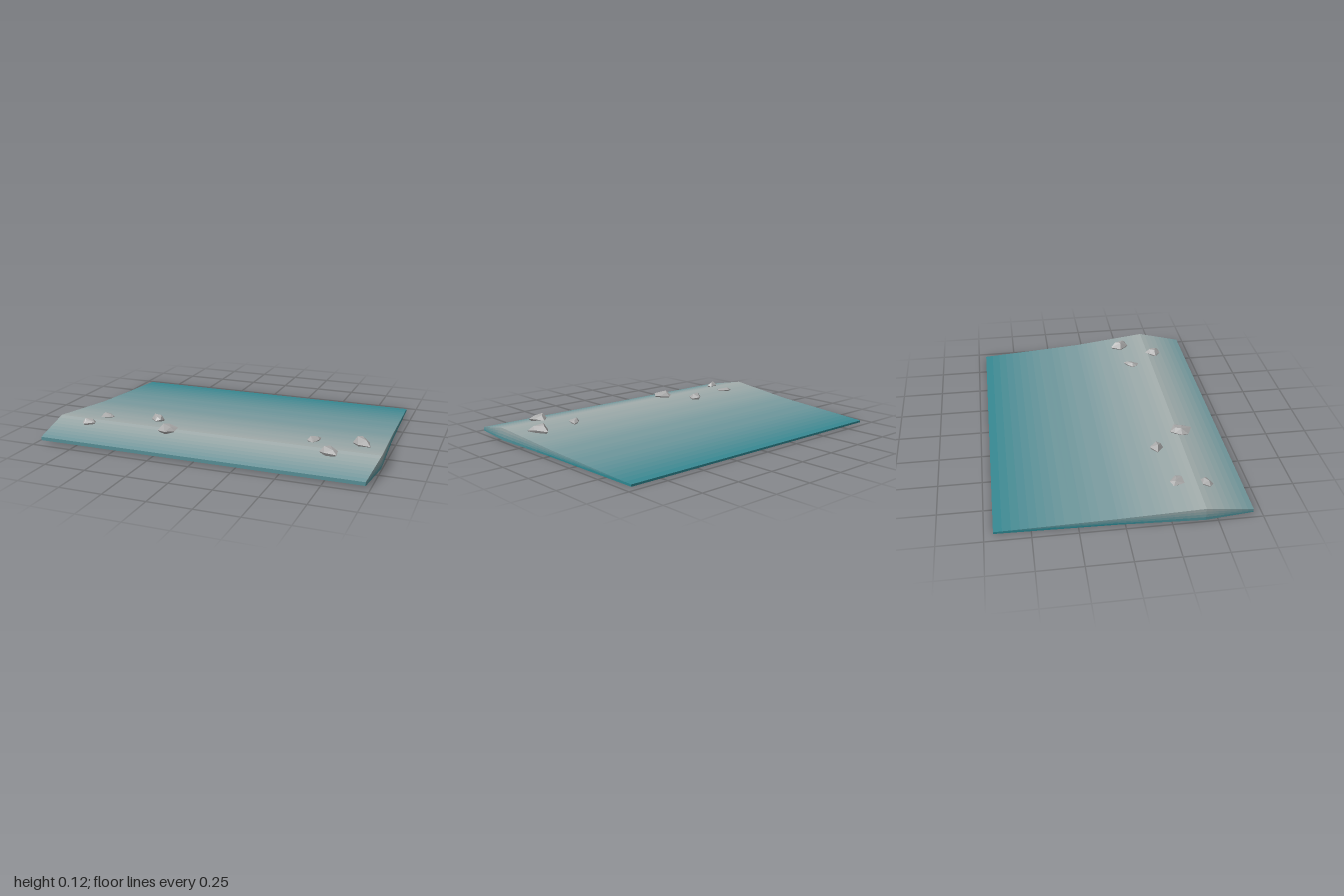
import * as THREE from 'three';
import { ConvexGeometry } from 'three/addons/geometries/ConvexGeometry.js';

// Cross-sections from front to back: z, half width, top height, bottom height
const sections = [
  [0.70, 0.973, 0.034, 0.013],
  [0.43, 1.0, 0.087, 0.011],
  [-0.04, 0.97, 0.046, 0.007],
  [-0.70, 0.945, 0.012, 0.0],
];

function sectionAt(z) {
  let i = 0;
  while (i < sections.length - 2 && z < sections[i + 1][0]) i++;
  const a = sections[i], b = sections[i + 1];
  const t = (a[0] - z) / (a[0] - b[0]);
  return a.map((v, k) => v + (b[k] - v) * t);
}

// Sloping slab, shaded from teal at the low edges to grey along the ridge
function makeSlab() {
  const levels = 24;
  const teal = new THREE.Color(0x2b8690), grey = new THREE.Color(0xa3adac);
  const materials = [];
  for (let i = 0; i <= levels; i++) {
    materials.push(new THREE.MeshStandardMaterial({ color: teal.clone().lerp(grey, i / levels) }));
  }
  const geometry = new THREE.BufferGeometry();
  const positions = [];

  function quad(a, b, c, d, height) {
    const t = Math.pow(THREE.MathUtils.clamp((height - 0.012) / 0.075, 0, 1), 0.8);
    geometry.addGroup(positions.length / 3, 6, Math.round(t * levels));
    positions.push(...a, ...b, ...c, ...a, ...c, ...d);
  }

  // Subdivide each span of the profile so the colour changes gradually
  const rows = [];
  const steps = [8, 14, 14];
  steps.forEach((n, i) => {
    for (let k = 0; k < n; k++) {
      rows.push(sectionAt(THREE.MathUtils.lerp(sections[i][0], sections[i + 1][0], k / n)));
    }
  });
  rows.push(sections[3]);

  const layers = 4;
  for (let i = 0; i < rows.length - 1; i++) {
    const [z0, w0, t0, b0] = rows[i], [z1, w1, t1, b1] = rows[i + 1];
    // Top and underside
    quad([-w0, t0, z0], [w0, t0, z0], [w1, t1, z1], [-w1, t1, z1], (t0 + t1) / 2);
    quad([-w1, b1, z1], [w1, b1, z1], [w0, b0, z0], [-w0, b0, z0], 0);
    // Left and right edges in thin layers
    for (let k = 0; k < layers; k++) {
      const y = (b, t, s) => b + (t - b) * s / layers;
      const lo0 = y(b0, t0, k), hi0 = y(b0, t0, k + 1);
      const lo1 = y(b1, t1, k), hi1 = y(b1, t1, k + 1);
      const mid = (lo0 + hi0 + lo1 + hi1) / 4;
      quad([w0, lo0, z0], [w1, lo1, z1], [w1, hi1, z1], [w0, hi0, z0], mid);
      quad([-w1, lo1, z1], [-w0, lo0, z0], [-w0, hi0, z0], [-w1, hi1, z1], mid);
    }
  }
  // Front and back edges
  const [zf, wf, tf, bf] = sections[0], [zb, wb, tb, bb] = sections[3];
  quad([-wf, bf, zf], [wf, bf, zf], [wf, tf, zf], [-wf, tf, zf], (tf + bf) / 2);
  quad([wb, bb, zb], [-wb, bb, zb], [-wb, tb, zb], [wb, tb, zb], 0);

  geometry.setAttribute('position', new THREE.Float32BufferAttribute(positions, 3));
  geometry.computeVertexNormals();
  const mesh = new THREE.Mesh(geometry, materials);
  mesh.name = 'slab';
  return mesh;
}

// Rocks: peak height and outline seen from above, as x, z pairs
const rocks = [
  { top: 0.097, outline: [[-0.78, 0.30], [-0.74, 0.285], [-0.685, 0.325], [-0.70, 0.36], [-0.76, 0.365]] },
  { top: 0.11, outline: [[-0.81, 0.50], [-0.79, 0.46], [-0.74, 0.46], [-0.73, 0.49], [-0.79, 0.52]] },
  { top: 0.115, outline: [[-0.455, 0.275], [-0.41, 0.235], [-0.37, 0.27], [-0.38, 0.305], [-0.41, 0.315]] },
  { top: 0.12, outline: [[-0.315, 0.45], [-0.30, 0.41], [-0.27, 0.385], [-0.21, 0.42], [-0.21, 0.47], [-0.25, 0.52], [-0.31, 0.49]] },
  { top: 0.10, outline: [[0.545, 0.30], [0.58, 0.26], [0.615, 0.245], [0.615, 0.29], [0.59, 0.345], [0.555, 0.33]] },
  { top: 0.118, outline: [[0.665, 0.48], [0.68, 0.45], [0.72, 0.415], [0.765, 0.46], [0.77, 0.51], [0.70, 0.515]] },
  { top: 0.119, outline: [[0.80, 0.255], [0.83, 0.225], [0.84, 0.19], [0.895, 0.25], [0.91, 0.30], [0.84, 0.31]] },
];

function makeRock({ top, outline }) {
  const n = outline.length;
  const cx = outline.reduce((s, p) => s + p[0], 0) / n;
  const cz = outline.reduce((s, p) => s + p[1], 0) / n;
  const ground = sectionAt(cz)[2];
  const points = [];
  const add = (p, scale, y) => points.push(
    new THREE.Vector3(cx + (p[0] - cx) * scale, y, cz + (p[1] - cz) * scale));
  outline.forEach((p, i) => {
    // Widest ring, buried foot, and an uneven crown
    add(p, 1, ground + (top - ground) * (i % 2 ? 0.35 : 0.15));
    add(p, 0.65, ground - 0.012);
    if (i % 2 === 0) add(p, 0.5, top - 0.006 * (i / 2));
  });
  const mesh = new THREE.Mesh(
    new ConvexGeometry(points),
    new THREE.MeshStandardMaterial({ color: 0xaaaaaa, flatShading: true }));
  mesh.name = 'rock';
  return mesh;
}

export function createModel() {
  const model = new THREE.Group();
  model.name = 'rockyShore';
  model.add(makeSlab());
  const scatter = new THREE.Group();
  scatter.name = 'rocks';
  rocks.forEach((r) => scatter.add(makeRock(r)));
  model.add(scatter);
  return model;
}
